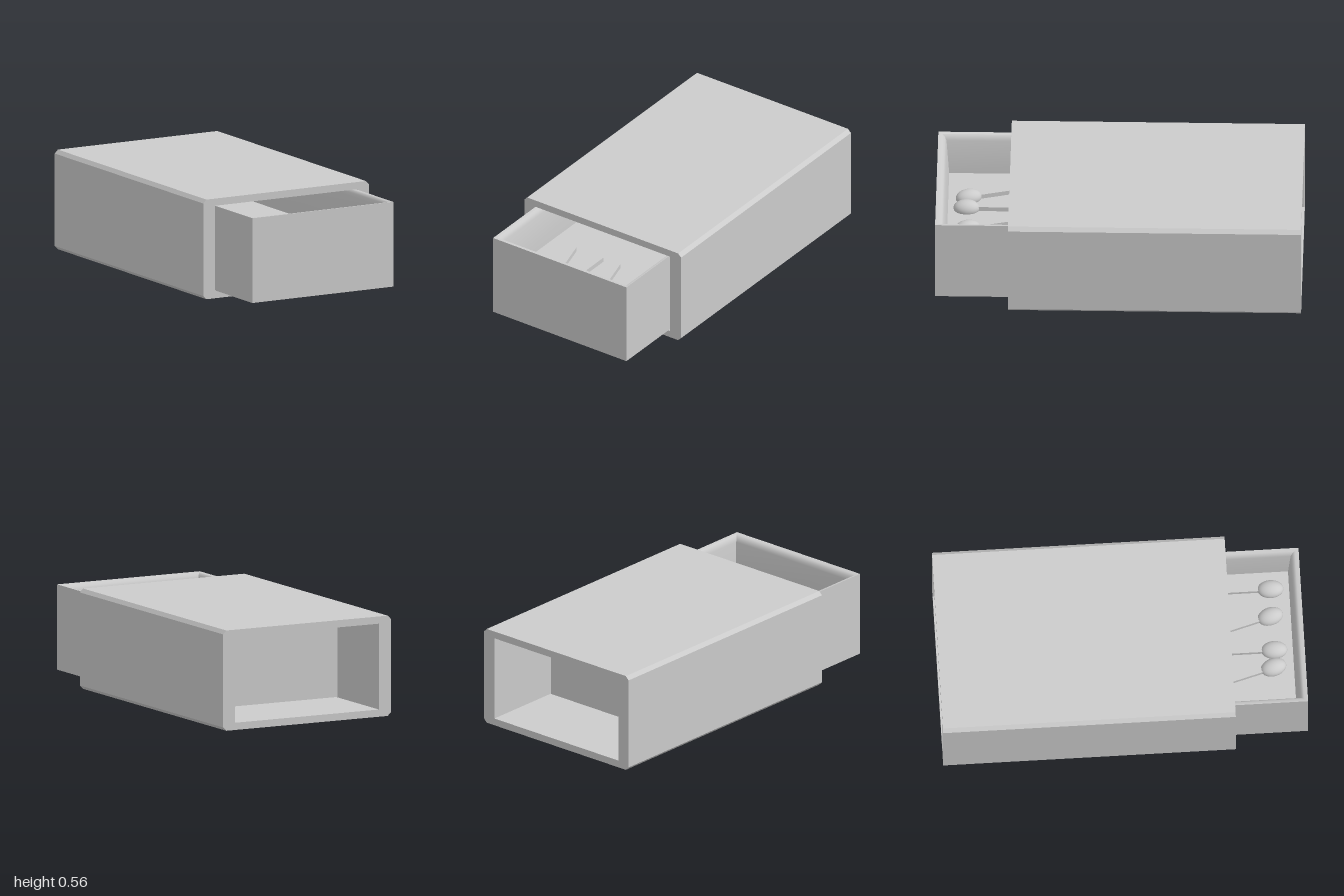
import * as THREE from 'three';
import { toCreasedNormals } from 'three/addons/utils/BufferGeometryUtils.js';

const material = new THREE.MeshStandardMaterial({ color: 0xcccccc });

function addMesh(parent, name, geometry) {
  const mesh = new THREE.Mesh(geometry, material);
  mesh.name = name;
  parent.add(mesh);
  return mesh;
}

// Outer sleeve: chamfered rectangle with a rectangular tunnel
function sleeveGeometry() {
  const w = 0.525, h = 0.555, c = 0.02;
  const points = (list) => list.map(([x, y]) => new THREE.Vector2(x, y));
  const shape = new THREE.Shape(points([
    [-w + c, 0], [w - c, 0], [w, c], [w, h - c],
    [w - c, h], [-w + c, h], [-w, h - c], [-w, c],
  ]));
  shape.holes.push(new THREE.Path(points([
    [-0.45, 0.04], [-0.45, 0.515], [0.45, 0.515], [0.45, 0.04],
  ])));
  const geometry = new THREE.ExtrudeGeometry(shape, { depth: 1.6, bevelEnabled: false });
  return geometry.translate(0, 0, -1);
}

// Tray: rectangular rings going up the outside, over the soft rim and down to the raised floor
function trayGeometry() {
  const x0 = -0.45, x1 = 0.443, z0 = -0.54, z1 = 1;
  const insetX = 0.045, insetZ = 0.06;
  const profile = [ // [share of the wall inset, height]
    [0, 0.043], [0, 0.515], [0.35, 0.512], [0.6, 0.5], [0.75, 0.48], [1, 0.272],
  ];
  const positions = [], index = [];
  for (const [t, y] of profile) {
    const dx = t * insetX, dz = t * insetZ;
    positions.push(
      x0 + dx, y, z1 - dz, x1 - dx, y, z1 - dz,
      x1 - dx, y, z0 + dz, x0 + dx, y, z0 + dz,
    );
  }
  for (let r = 0; r < profile.length - 1; r++) {
    for (let i = 0; i < 4; i++) {
      const a = r * 4 + i, b = r * 4 + (i + 1) % 4;
      index.push(a, b, b + 4, a, b + 4, a + 4);
    }
  }
  const f = (profile.length - 1) * 4;
  index.push(0, 2, 1, 0, 3, 2); // underside
  index.push(f, f + 1, f + 2, f, f + 2, f + 3); // floor
  const geometry = new THREE.BufferGeometry();
  geometry.setAttribute('position', new THREE.Float32BufferAttribute(positions, 3));
  geometry.setIndex(index);
  return toCreasedNormals(geometry, 0.7);
}

// Match: square stick running back from an egg-shaped head
function createMatch(x, z, angle) {
  const match = new THREE.Group();
  match.name = 'match';
  const length = 0.31;
  addMesh(match, 'matchStick', new THREE.BoxGeometry(0.026, 0.026, length))
    .position.z = -length / 2;
  addMesh(match, 'matchHead', new THREE.SphereGeometry(1, 24, 16))
    .scale.set(0.05, 0.045, 0.072);
  match.position.set(x, 0.285, z);
  match.rotation.y = angle;
  return match;
}

export function createModel() {
  const model = new THREE.Group();
  model.name = 'matchbox';
  addMesh(model, 'sleeve', sleeveGeometry());

  const drawer = new THREE.Group();
  drawer.name = 'drawer';
  addMesh(drawer, 'tray', trayGeometry());
  for (const [x, z, angle] of [
    [-0.158, 0.828, 0.27], [-0.058, 0.838, 0], [0.138, 0.828, 0.27], [0.296, 0.838, 0],
  ]) drawer.add(createMatch(x, z, angle));
  model.add(drawer);
  return model;
}
